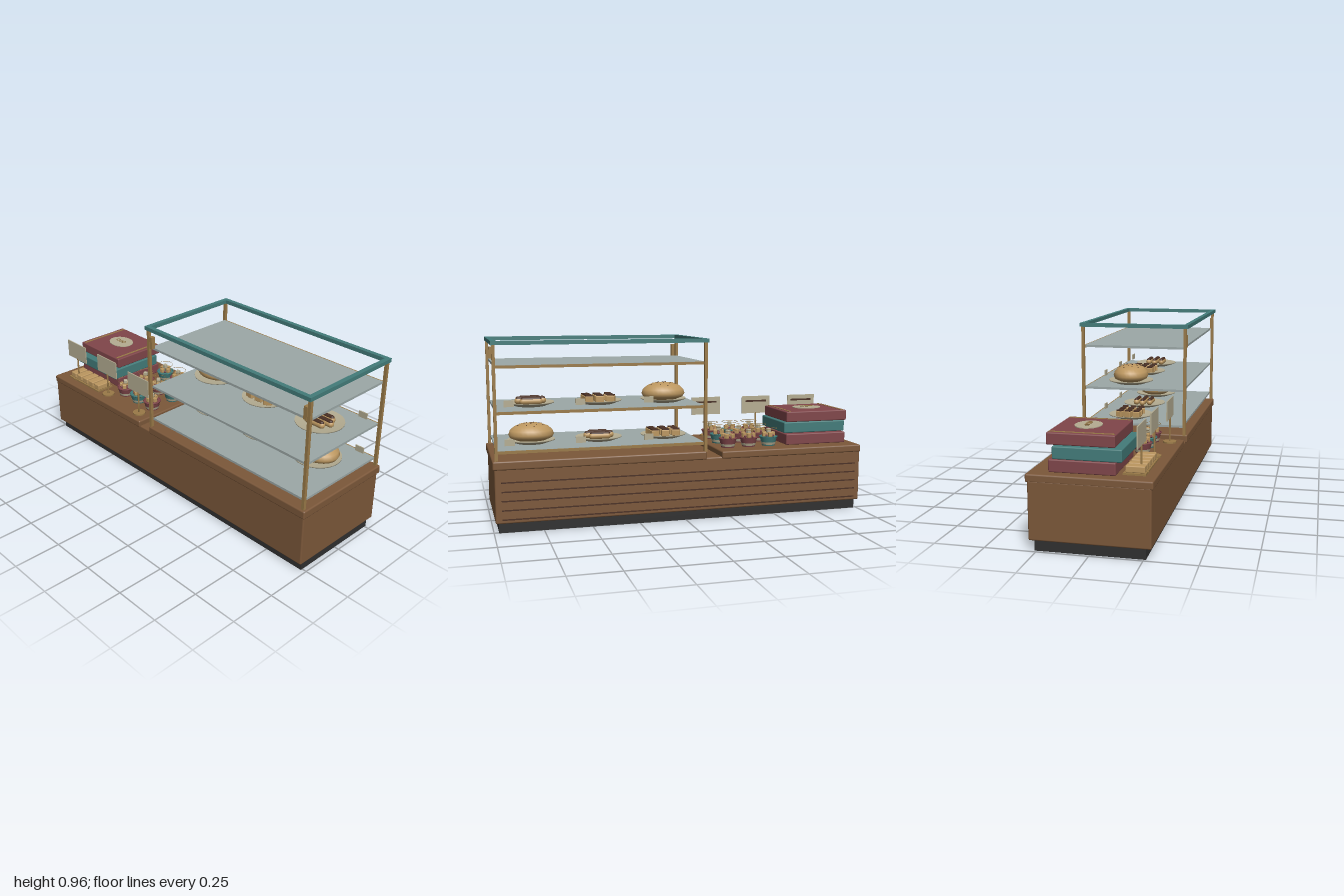
import * as THREE from 'three';
import { RoundedBoxGeometry } from 'three/addons/geometries/RoundedBoxGeometry.js';

const mat = (name, color, double) => {
  const m = new THREE.MeshStandardMaterial({ color });
  m.name = name;
  if (double) m.side = THREE.DoubleSide;
  return m;
};
const M = {
  wood: mat('wood', 0x7c583a),
  plinth: mat('plinth', 0x303030),
  teal: mat('teal', 0x437c7a),
  brass: mat('brass', 0x9a7a48),
  shelf: mat('shelf glass', 0x9ca8a7),
  maroon: mat('maroon', 0x80464a),
  cream: mat('cream', 0xb5ad92, true),
  bread: mat('bread', 0xbc9760),
  dark: mat('dark brown', 0x4a3024),
};

function add(parent, name, geo, material, x = 0, y = 0, z = 0) {
  const mesh = new THREE.Mesh(geo, material);
  mesh.name = name;
  mesh.position.set(x, y, z);
  parent.add(mesh);
  return mesh;
}

// Box given by its limits on each axis; r rounds the edges
function box(parent, name, material, [x0, x1], [y0, y1], [z0, z1], r = 0) {
  const s = [x1 - x0, y1 - y0, z1 - z0];
  const geo = r ? new RoundedBoxGeometry(...s, 2, r) : new THREE.BoxGeometry(...s);
  return add(parent, name, geo, material, (x0 + x1) / 2, (y0 + y1) / 2, (z0 + z1) / 2);
}

function group(parent, name, x = 0, y = 0, z = 0) {
  const g = new THREE.Group();
  g.name = name;
  g.position.set(x, y, z);
  parent.add(g);
  return g;
}

function counter(root) {
  const g = group(root, 'counter');
  box(g, 'plinth', M.plinth, [-0.985, 0.975], [0, 0.06], [-0.26, 0.26]);
  box(g, 'body', M.wood, [-1, 0.992], [0.052, 0.335], [-0.285, 0.288], 0.008);
  box(g, 'leftTop', M.wood, [-1, -0.19], [0.325, 0.365], [-0.295, 0.295], 0.008);
  box(g, 'rightTop', M.wood, [-0.105, 1], [0.325, 0.37], [-0.295, 0.297], 0.008);
  for (let i = 0; i < 5; i++) {
    const y = 0.073 + i * 0.047;
    box(g, 'backGroove', M.dark, [-0.97, 0.96], [y - 0.003, y + 0.003], [-0.29, -0.284]);
  }
}

function displayCase(root) {
  const g = group(root, 'displayCase');
  for (const x of [-0.1, 0.98]) {
    for (const z of [-0.278, 0.28]) {
      box(g, 'post', M.brass, [x - 0.008, x + 0.008], [0.365, 0.945], [z - 0.008, z + 0.008]);
    }
    box(g, 'topSideBar', M.teal, [x - 0.012, x + 0.012], [0.94, 0.96], [-0.295, 0.297]);
    const hx = x < 0 ? -0.077 : 0.961;
    box(g, 'hinge', M.brass, [hx - 0.01, hx + 0.01], [0.84, 0.905], [0.268, 0.29]);
  }
  for (const z of [-0.283, 0.285]) {
    box(g, 'topLongBar', M.teal, [-0.088, 0.968], [0.94, 0.96], [z - 0.012, z + 0.012]);
  }
  for (const y of [0.412, 0.607, 0.835]) {
    box(g, 'shelf', M.shelf, [-0.095, 0.975], [y - 0.006, y + 0.006], [-0.268, 0.27]);
    box(g, 'shelfRail', M.brass, [-0.095, 0.975], [y - 0.009, y + 0.005], [-0.276, -0.266]);
  }
}

const plateProfile = [[0, 0], [0.075, 0], [0.123, 0.017], [0.123, 0.022], [0.08, 0.012], [0, 0.01]]
  .map(([x, y]) => new THREE.Vector2(x, y));
const plateGeo = new THREE.LatheGeometry(plateProfile, 32);

// Seeded loaf: a flattened dome with a rounded underside
function loaf(g) {
  const profile = [[0, 0], [0.06, 0], [0.088, 0.014], [0.096, 0.032], [0.09, 0.053], [0.072, 0.073],
    [0.043, 0.087], [0, 0.092]].map(([x, y]) => new THREE.Vector2(x, y));
  add(g, 'loaf', new THREE.LatheGeometry(profile, 28), M.bread, 0, 0.015, 0).scale.x = 1.23;
  for (let i = 0; i < 16; i++) {
    const a = i * 2.4, r = 0.016 * Math.sqrt(i);
    const y = 0.047 + 0.06 * Math.sqrt(1 - (r / 0.096) ** 2);
    const seed = add(g, 'seed', new THREE.SphereGeometry(0.004, 6, 4), M.dark,
      Math.cos(a) * r * 1.23, y, Math.sin(a) * r);
    seed.scale.set(1.3, 0.6, 0.8);
    seed.rotation.y = a;
  }
}

function squares(g) {
  for (let i = -1; i <= 1; i++) {
    for (let j = -1; j <= 1; j++) {
      const c = group(g, 'cakeSquare', i * 0.06, 0.012, j * 0.047);
      c.rotation.y = (i * 2 + j) * 0.12;
      box(c, 'cake', M.bread, [-0.022, 0.022], [0, 0.034], [-0.018, 0.018], 0.004);
      box(c, 'icing', M.dark, [-0.018, 0.018], [0.034, 0.04], [-0.015, 0.015]);
    }
  }
}

function eclairs(g) {
  for (let i = -1; i <= 1; i++) {
    const len = i ? 0.085 : 0.13;
    const body = add(g, 'eclair', new THREE.CapsuleGeometry(0.017, len, 5, 12), M.bread, 0, 0.027, i * 0.04);
    body.rotation.z = Math.PI / 2;
    const icing = add(g, 'eclairIcing', new THREE.CapsuleGeometry(0.012, len, 4, 10), M.dark, 0, 0.038, i * 0.04);
    icing.rotation.z = Math.PI / 2;
  }
}

function cakes(root) {
  const rows = [[0.418, [squares, eclairs, loaf]], [0.613, [loaf, squares, eclairs]]];
  for (const [y, fills] of rows) {
    fills.forEach((fill, i) => {
      const g = group(root, 'servedPlate', 0.07 + i * 0.357, y, -0.052);
      add(g, 'plate', plateGeo, M.cream);
      fill(g);
      box(g, 'priceTag', M.cream, [0.1, 0.15], [0.018, 0.05], [-0.182, -0.176]);
    });
  }
}

function cupcakes(root) {
  const colours = ['TMM', 'MMT', 'MTM'];
  [-0.17, -0.015, 0.138].forEach((z, r) => {
    [-0.5, -0.383, -0.263].forEach((x, c) => {
      const m = colours[r][c] === 'T' ? M.teal : M.maroon;
      const g = group(root, 'cupcake', x, 0.365, z);
      add(g, 'cup', new THREE.CylinderGeometry(0.048, 0.035, 0.05, 20), m, 0, 0.025, 0);
      add(g, 'cupBand', new THREE.CylinderGeometry(0.0415, 0.0375, 0.014, 20, 1, true), M.cream, 0, 0.014, 0);
      add(g, 'rim', new THREE.TorusGeometry(0.048, 0.003, 6, 24), m, 0, 0.05, 0).rotation.x = Math.PI / 2;
      add(g, 'wireRing', new THREE.TorusGeometry(0.045, 0.0012, 4, 28), M.brass, 0, 0.094, 0).rotation.x = Math.PI / 2;
      // Cluster of small sweets
      for (let i = 0; i < 5; i++) {
        const a = i * Math.PI / 2 + r * 0.5 + c * 0.3, d = i < 4 ? 0.025 : 0;
        const s = add(g, 'sweet', new RoundedBoxGeometry(0.022, 0.026, 0.022, 1, 0.004), i < 4 ? M.bread : M.cream,
          Math.cos(a) * d, i < 4 ? 0.062 : 0.082, Math.sin(a) * d);
        s.rotation.y = a;
        if (i < 4) {
          const b = a + Math.PI / 4;
          add(g, 'berry', new THREE.SphereGeometry(0.007, 8, 6), M.maroon,
            Math.cos(b) * 0.026, 0.057, Math.sin(b) * 0.026);
        }
      }
    });
  });
}

function giftBoxes(root) {
  const g = group(root, 'giftBoxes');
  box(g, 'lowerBox', M.maroon, [-0.95, -0.595], [0.365, 0.425], [-0.2, 0.115], 0.006);
  box(g, 'middleBox', M.teal, [-0.955, -0.59], [0.428, 0.488], [-0.18, 0.145], 0.006);
  box(g, 'upperBox', M.maroon, [-0.952, -0.592], [0.493, 0.55], [-0.207, 0.113], 0.006);
  for (const x of [-0.928, -0.616]) {
    box(g, 'ribbon', M.brass, [x - 0.006, x + 0.006], [0.549, 0.552], [-0.2, 0.106]);
  }
  add(g, 'ovalLabel', new THREE.CylinderGeometry(0.064, 0.064, 0.004, 32), M.cream, -0.777, 0.555, -0.056).scale.x = 1.28;
  for (let i = -1; i <= 1; i++) {
    const loop = add(g, 'labelLoop', new THREE.TorusGeometry(0.012, 0.002, 4, 16), M.brass, -0.777 + i * 0.026, 0.561, -0.056);
    loop.rotation.x = Math.PI / 2;
  }
}

function biscuitTray(root) {
  const g = group(root, 'biscuitRow');
  for (let i = 0; i < 5; i++) {
    const x = -0.885 + i * 0.057;
    box(g, 'biscuit', M.bread, [x - 0.023, x + 0.023], [0.373, 0.405], [0.148, 0.238], 0.005);
  }
  box(g, 'tray', M.brass, [-0.92, -0.63], [0.364, 0.374], [0.14, 0.245]);
}

function signs(root) {
  for (const [x, z] of [[-0.863, 0.213], [-0.573, 0.213], [-0.267, 0.232]]) {
    const g = group(root, 'sign', x, 0.365, z);
    add(g, 'foot', new THREE.CylinderGeometry(0.035, 0.035, 0.008, 20), M.brass, 0, 0.004, 0);
    add(g, 'stem', new THREE.CylinderGeometry(0.005, 0.005, 0.13, 8), M.brass, 0, 0.068, 0);
    box(g, 'card', M.cream, [-0.087, 0.087], [0.128, 0.23], [-0.003, 0.003]);
    box(g, 'cardStripe', M.dark, [-0.065, 0.065], [0.196, 0.206], [-0.005, -0.003]);
  }
}

export function createModel() {
  const root = new THREE.Group();
  root.name = 'bakeryCounter';
  for (const build of [counter, displayCase, cakes, cupcakes, giftBoxes, biscuitTray, signs]) build(root);
  return root;
}
